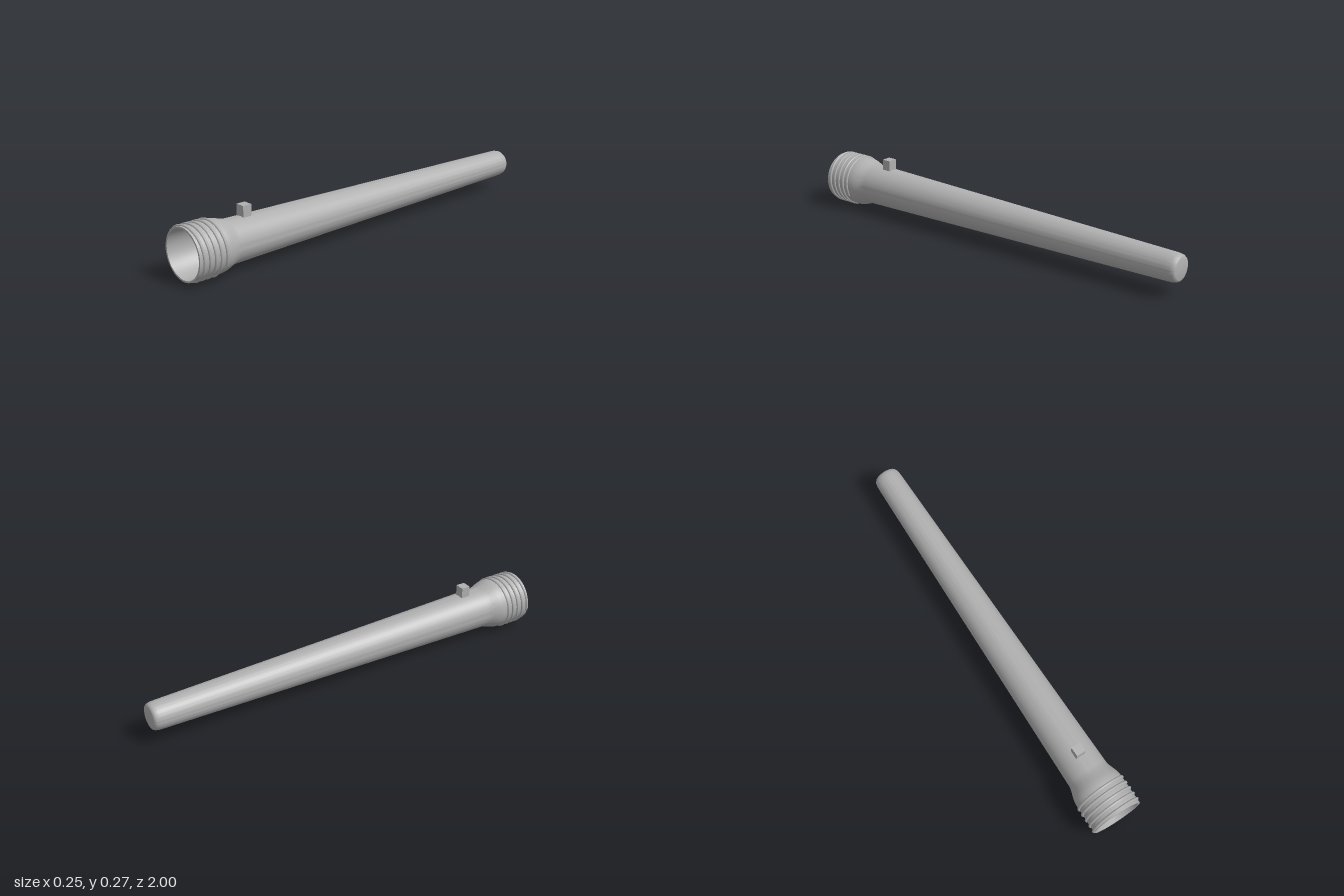
import * as THREE from 'three';
import { toCreasedNormals } from 'three/addons/utils/BufferGeometryUtils.js';

const AXIS_Y = 0.128;

// Helical centre line running back from the mouth around the z axis
class Helix extends THREE.Curve {
  constructor(radius, zFront, pitch, turns, startAngle) {
    super();
    Object.assign(this, { radius, zFront, pitch, turns, startAngle });
  }
  getPoint(t, target = new THREE.Vector3()) {
    const a = this.startAngle - t * this.turns * Math.PI * 2;
    return target.set(
      Math.cos(a) * this.radius,
      Math.sin(a) * this.radius,
      this.zFront - t * this.turns * this.pitch
    );
  }
}

export function createModel() {
  const group = new THREE.Group();
  const grey = new THREE.MeshStandardMaterial({ color: 0xb0b0b0 });

  const add = (name, geometry, y = AXIS_Y, z = 0) => {
    const mesh = new THREE.Mesh(geometry, grey);
    mesh.name = name;
    mesh.position.set(0, y, z);
    group.add(mesh);
    return mesh;
  };

  // Hollow tapered body: [radius, z] up the outside, over the rim, down the bore
  const profile = [
    [0, -1], [0.048, -1], [0.056, -0.997], [0.061, -0.989], [0.064, -0.975], [0.065, -0.95],
    [0.099, 0.765], [0.101, 0.78], [0.106, 0.797], [0.114, 0.82], [0.118, 0.835], [0.12, 0.852],
    [0.12, 1], [0.112, 1],
    [0.111, 0.85], [0.107, 0.825], [0.097, 0.79], [0.091, 0.765],
    [0.052, -0.98], [0, -0.98],
  ].map(([r, z]) => new THREE.Vector2(r, z));
  const body = new THREE.LatheGeometry(profile, 64);
  body.rotateX(Math.PI / 2);
  add('hollowBody', toCreasedNormals(body, Math.PI / 4));

  // Screw thread around the collar, with closed ends
  const helix = new Helix(0.1205, 0.993, 0.029, 4.6, Math.PI * 1.06);
  add('screwThread', new THREE.TubeGeometry(helix, 400, 0.0065, 8));
  for (const t of [0, 1]) {
    const end = add('threadEnd', new THREE.SphereGeometry(0.0065, 8, 6));
    end.position.add(helix.getPoint(t));
  }

  // Small block on top of the body
  add('topBlock', new THREE.BoxGeometry(0.046, 0.052, 0.044), 0.249, 0.677);

  return group;
}
